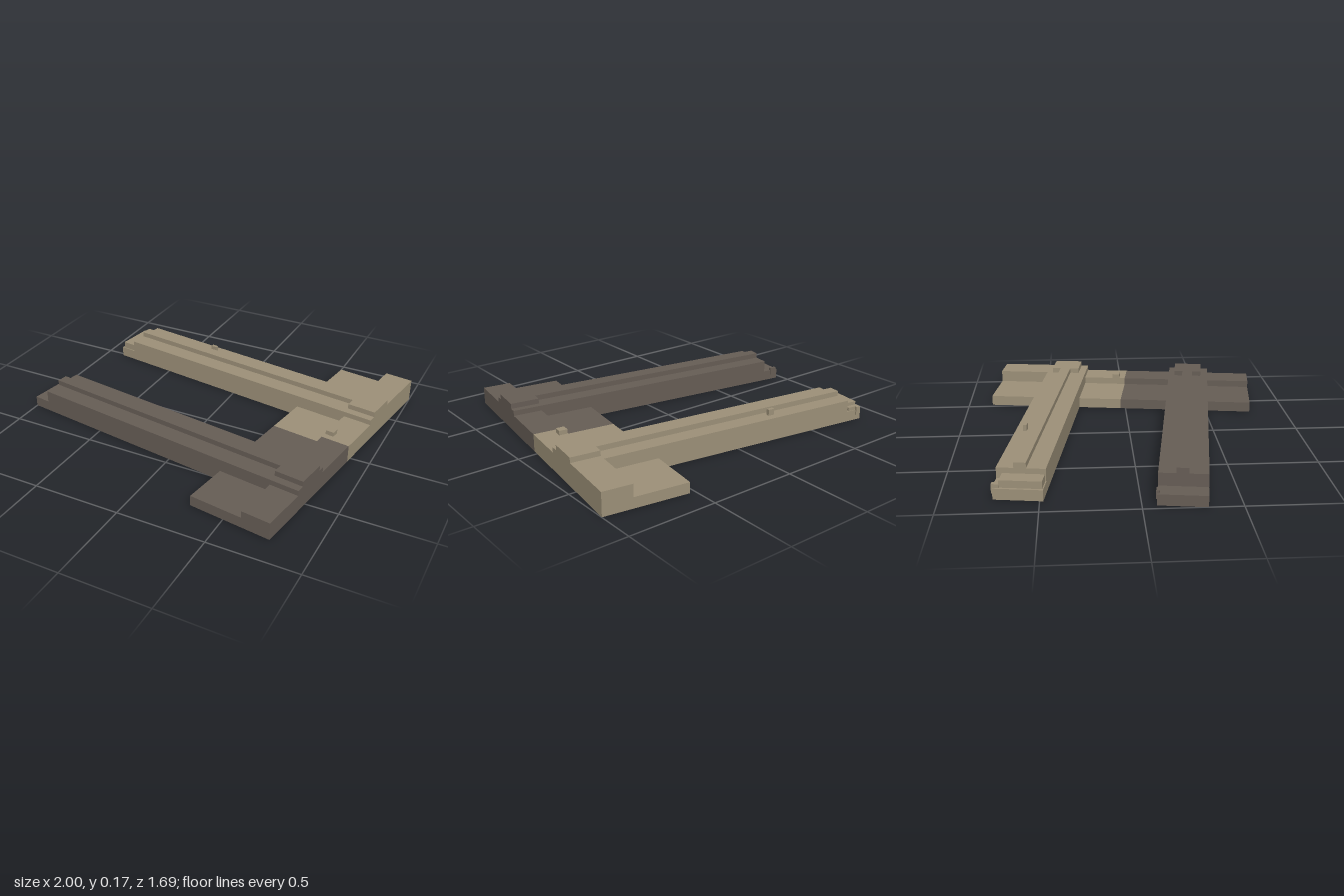
import * as THREE from 'three';

const TAN = new THREE.MeshStandardMaterial({ color: 0x9c9078 });
const DARK = new THREE.MeshStandardMaterial({ color: 0x665d55 });

// Box given by its limits on each axis
function slab(parent, name, mat, x0, x1, y0, y1, z0, z1) {
  const mesh = new THREE.Mesh(new THREE.BoxGeometry(x1 - x0, y1 - y0, z1 - z0), mat);
  mesh.position.set((x0 + x1) / 2, (y0 + y1) / 2, (z0 + z1) / 2);
  mesh.name = name;
  parent.add(mesh);
  return mesh;
}

const LOW = 0.06, MID = 0.1, HIGH = 0.13, TOP = 0.16;
const TIP = -0.946, BODY = -0.846, PLATE = 0.407, STEP = 0.714, END = 0.88;

// Long arm with a T-shaped ridge; z = 0 is its back edge
function arm(name, mat, z) {
  const g = new THREE.Group();
  g.name = name;
  g.position.z = z;
  slab(g, 'armBody', mat, BODY, END, 0, HIGH, 0, 0.254);
  slab(g, 'armTongue', mat, TIP, BODY, 0, LOW, 0, 0.254);

  // Narrow ridge that widens at the crossbar
  const outline = [[BODY, 0.09], [STEP, 0.09], [STEP, 0.037], [END, 0.037],
    [END, 0.209], [STEP, 0.209], [STEP, 0.154], [BODY, 0.154]];
  const shape = new THREE.Shape(outline.map(([x, zz]) => new THREE.Vector2(x, -zz)));
  const geo = new THREE.ExtrudeGeometry(shape, { depth: TOP - HIGH, bevelEnabled: false });
  geo.rotateX(-Math.PI / 2);
  const ridge = new THREE.Mesh(geo, mat);
  ridge.position.y = HIGH;
  ridge.name = 'ridge';
  g.add(ridge);
  return g;
}

// Crossbar section: low plate on the inside, taller sill on the outside
function crossbar(parent, mat, z0, z1, sill) {
  slab(parent, 'crossbarPlate', mat, PLATE, STEP, 0, LOW, z0, z1);
  slab(parent, 'crossbarSill', mat, STEP, END, 0, sill, z0, z1);
}

export function createModel() {
  const model = new THREE.Group();
  const frame = new THREE.Group();
  frame.name = 'frame';
  frame.rotation.y = -0.14;
  model.add(frame);

  const backZ = -0.607, frontZ = 0.206, split = -0.088, width = 0.254;

  // Back arm with end step, catch and side tab
  const backArm = arm('backArm', TAN, backZ);
  slab(backArm, 'endStep', TAN, -0.932, BODY, LOW, MID, 0.03, 0.248);
  slab(backArm, 'catch', TAN, -0.937, -0.91, 0.03, 0.08, -0.008, 0.03);
  slab(backArm, 'catchBar', TAN, -0.91, -0.862, LOW, 0.08, 0.005, 0.03);
  slab(backArm, 'sideTab', TAN, -0.35, -0.314, HIGH, 0.165, 0.043, 0.063);

  // Front arm with a small catch
  const frontArm = arm('frontArm', DARK, frontZ);
  slab(frontArm, 'catch', DARK, -0.936, -0.894, 0.03, 0.075, -0.004, 0.013);
  frame.add(backArm, frontArm);

  // Crossbar in two colours, interrupted by the arms
  crossbar(frame, TAN, -0.917, backZ, HIGH);
  crossbar(frame, TAN, backZ + width, split, MID);
  crossbar(frame, DARK, split, frontZ, MID);
  crossbar(frame, DARK, frontZ + width, 0.727, MID);
  slab(frame, 'sillKnob', TAN, 0.718, 0.766, MID, 0.125, -0.17, -0.125);

  return model;
}
